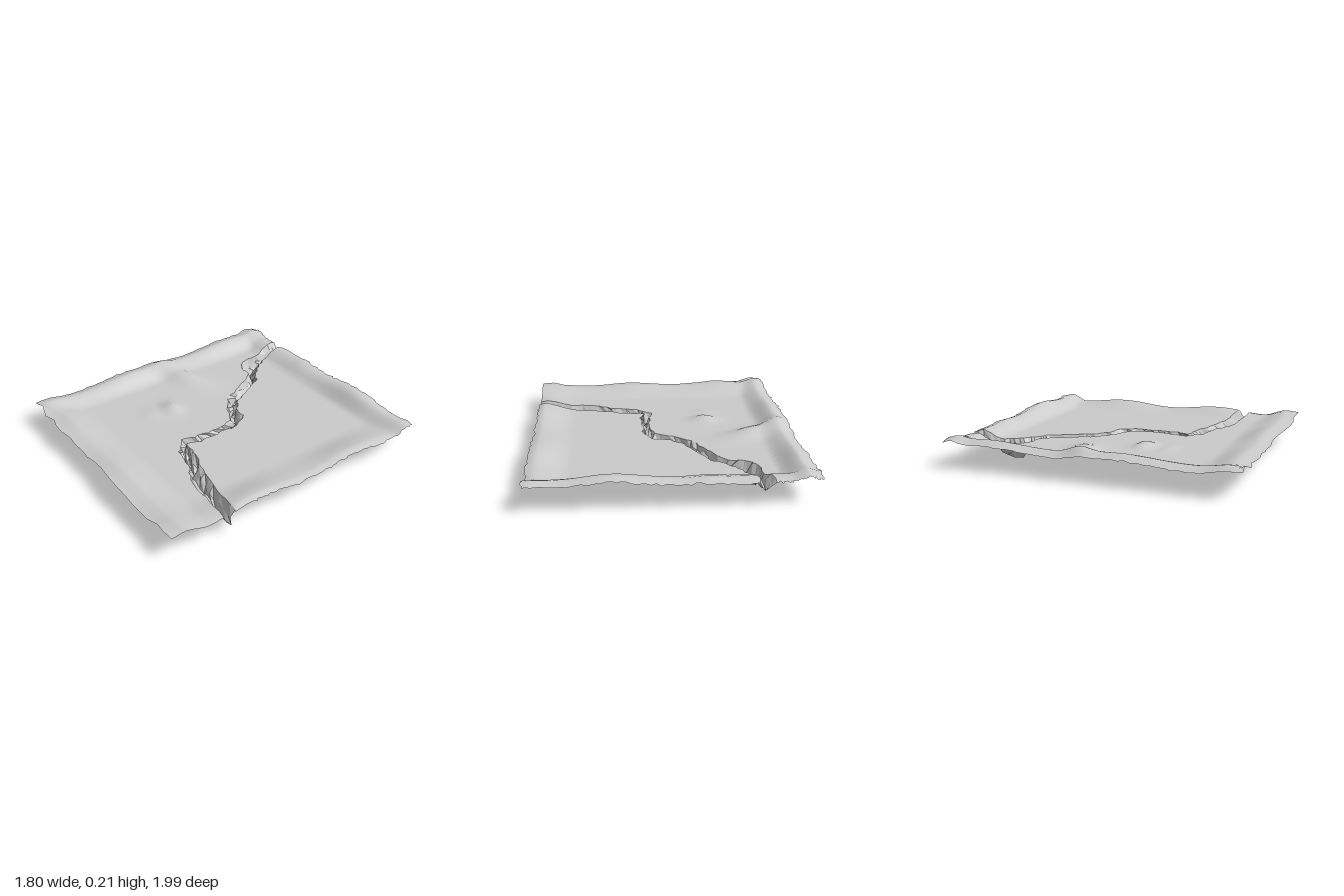
import * as THREE from 'three';

// Matching [x, z] points on the two rims of the ravine, and its floor heights
const leftRim = [[-.61, -.985], [-.58, -.79], [-.57, -.63], [-.5, -.565], [-.38, -.545], [-.285, -.395],
  [-.205, -.22], [-.075, -.115], [.05, -.05], [.085, .105], [.08, .24], [.05, .345], [.165, .46],
  [.32, .49], [.48, .555], [.64, .58], [.885, .615]];
const rightRim = [[-.51, -.985], [-.51, -.82], [-.445, -.69], [-.365, -.6], [-.275, -.53], [-.19, -.37],
  [-.14, -.265], [-.05, -.185], [.075, -.14], [.14, -.03], [.125, .105], [.14, .25], [.11, .36],
  [.215, .38], [.425, .43], [.61, .48], [.88, .53]];
const floorY = [.11, .07, 0, .03, .055, .06, .06, .05, .06, .06, .055, .06, .06, .055, .05, .035, .06];
const ROWS = 68, COLS = 48, CORNER = 11 / 16;

let seed = 7;
const jitter = (a) => {
  seed = (seed * 16807) % 2147483647;
  return (seed / 2147483647 * 2 - 1) * a;
};
const lerp = THREE.MathUtils.lerp;
const ramp = (v, a, b) => THREE.MathUtils.smoothstep(v, a, b);

function sample(list, t) {
  const f = t * (list.length - 1), i = Math.min(Math.floor(f), list.length - 2);
  return list[i].map((v, k) => lerp(v, list[i + 1][k], f - i));
}

// Soft hill, optionally turned by an angle
function hill(x, z, cx, cz, rx, rz, h, angle = 0) {
  const c = Math.cos(angle), s = Math.sin(angle), dx = x - cx, dz = z - cz;
  const u = (dx * c + dz * s) / rx, v = (dz * c - dx * s) / rz;
  return h * Math.exp(-u * u - v * v);
}

// Flat plain with raised borders that dip again at the outer edge, plus a few hills
function height(x, z) {
  const left = ramp(-x, .66, .82) * (.068 + .014 * Math.sin(z * 7)) - ramp(-x, .8, .9) * .03;
  const right = ramp(x, .62, .86) * (.042 + .016 * Math.cos((z + .42) * 8)) - ramp(x, .84, .9) * .015;
  const back = ramp(-z, .77, .92) * (.062 + hill(x, 0, .36, 0, .22, 1, .035) + hill(x, 0, -.2, 0, .1, 1, .01))
    - ramp(-z, .91, 1) * .025;
  const front = ramp(z, .68, .9) * (.05 + .01 * Math.sin(x * 9)) - ramp(z, .88, 1) * .015;
  return .122 + Math.hypot(...[left, right, back, front].map((v) => Math.max(v, 0))) * .95
    + hill(x, z, -.66, -.09, .22, .085, .055, -.38)
    + hill(x, z, -.32, .2, .085, .06, .035)
    + hill(x, z, -.34, .36, .08, .05, .01);
}

// Surface through rows of points
function surface(rows, name, flip, flat) {
  const n = rows[0].length, index = [];
  for (let i = 0; i < rows.length - 1; i++) {
    for (let j = 0; j < n - 1; j++) {
      const a = i * n + j, b = a + 1, c = a + n, d = c + 1;
      index.push(...(flip ? [a, b, c, b, d, c] : [a, c, b, b, c, d]));
    }
  }
  const geo = new THREE.BufferGeometry();
  geo.setAttribute('position', new THREE.Float32BufferAttribute(rows.flat(2), 3));
  geo.setIndex(index);
  geo.computeVertexNormals();
  const mesh = new THREE.Mesh(geo, new THREE.MeshStandardMaterial({
    color: 0xcccccc, side: THREE.DoubleSide, flatShading: flat,
  }));
  mesh.name = name;
  return mesh;
}

// Slightly ragged rim points, shared by the land and the ravine
function rim(list) {
  return Array.from({ length: ROWS + 1 }, (_, i) => {
    const inner = i > 0 && i < ROWS ? .011 : 0;
    const [x, z] = sample(list, i / ROWS).map((v) => v + jitter(inner));
    return [x, height(x, z), z];
  });
}

// Land stretched from a rim to the outer border, with a ragged outer edge
function land(rimPoints, border, name, flip) {
  const rows = rimPoints.map((p, i) => {
    const [bx, bz] = border(i / ROWS);
    return Array.from({ length: COLS + 1 }, (_, j) => {
      if (j === 0) return p;
      let x = lerp(p[0], bx, j / COLS), z = lerp(p[2], bz, j / COLS);
      if (j === COLS) x += Math.abs(bx) > .88 ? jitter(.011) : 0;
      if (Math.abs(z) > .97) z += jitter(.012);
      return [x, height(x, z), z];
    });
  });
  return surface(rows, name, flip, false);
}

export function createModel() {
  const group = new THREE.Group();
  group.name = 'ravineTerrain';
  const leftPts = rim(leftRim), rightPts = rim(rightRim);

  // Land on both sides of the ravine
  const westBorder = (t) => (t < CORNER
    ? [-.89, lerp(-.985, .985, t / CORNER)]
    : [lerp(-.89, .89, (t - CORNER) / (1 - CORNER)), .985]);
  const eastBorder = (t) => [.89, lerp(-.985, .535, t)];
  group.add(land(leftPts, westBorder, 'frontLand', true));
  group.add(land(rightPts, eastBorder, 'backLand', false));

  // Rocky ravine: rim, ledge, floor, ledge, rim
  const floors = floorY.map((y) => [y]);
  const ravine = leftPts.map((a, i) => {
    const b = rightPts[i], [low] = sample(floors, i / ROWS);
    return [0, .25, .5, .75, 1].map((t) => {
      if (t === 0) return a;
      if (t === 1) return b;
      const rimY = lerp(a[1], b[1], t);
      const y = t === .5 ? low + jitter(.014) : lerp(rimY, low, .6) + jitter(.02);
      return [lerp(a[0], b[0], t) + jitter(.012), Math.max(0, y), lerp(a[2], b[2], t) + jitter(.012)];
    });
  });
  group.add(surface(ravine, 'ravine', false, true));
  return group;
}
